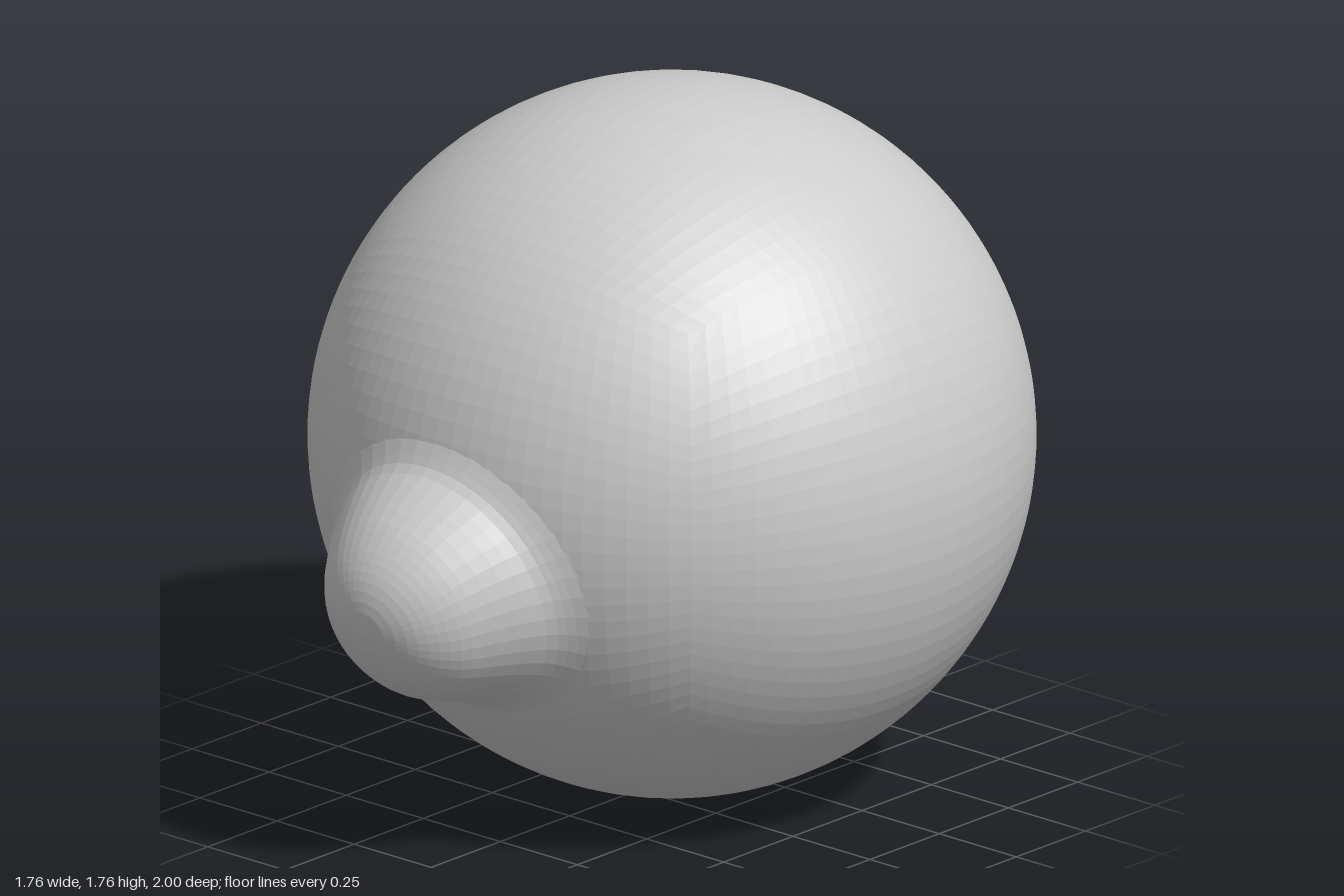
import * as THREE from 'three';
import { ParametricGeometry } from 'three/addons/geometries/ParametricGeometry.js';

const RADIUS = 0.88;

// Evenly faceted sphere: a subdivided cube pushed out to the radius
function ballGeometry(radius, n) {
  const geo = new THREE.BoxGeometry(2, 2, 2, n, n, n);
  const pos = geo.attributes.position;
  const p = new THREE.Vector3();
  for (let i = 0; i < pos.count; i++) {
    p.fromBufferAttribute(pos, i);
    // the tangent keeps the facets nearly equal in size
    p.set(...p.toArray().map((c) => Math.tan((c * Math.PI) / 4)));
    p.setLength(radius);
    pos.setXYZ(i, p.x, p.y, p.z);
  }
  geo.computeVertexNormals();
  return geo;
}

// Rounded snout from oval rings: [distance from ball centre, top, bottom, half width]
function snoutGeometry() {
  const rings = [
    [0.765, 0.42, -0.415, 0.43],
    [0.8, 0.378, -0.355, 0.38],
    [0.835, 0.342, -0.306, 0.345],
    [0.9, 0.315, -0.26, 0.305],
    [0.983, 0.275, -0.215, 0.252],
    [1.03, 0.242, -0.185, 0.218],
    [1.072, 0.203, -0.14, 0.175],
    [1.103, 0.16, -0.09, 0.128],
    [1.125, 0.105, -0.02, 0.065],
    [1.132, 0.043, 0.043, 0],
  ];
  const heights = new THREE.CatmullRomCurve3(rings.map(([d, t, b]) => new THREE.Vector3(d, t, b)));
  const widths = new THREE.CatmullRomCurve3(rings.map(([d, , , w]) => new THREE.Vector3(d, w, 0)));
  const surface = (u, v, target) => {
    const h = heights.getPoint(v);
    const w = widths.getPoint(v).y;
    const a = u * Math.PI * 2;
    target.set(Math.cos(a) * w, (h.y + h.z) / 2 + (Math.sin(a) * (h.y - h.z)) / 2, h.x);
  };
  return new ParametricGeometry(surface, 44, 20);
}

export function createModel() {
  const model = new THREE.Group();
  const material = new THREE.MeshStandardMaterial({ color: 0xcccccc, flatShading: true });

  const head = new THREE.Group();
  head.name = 'head';
  head.position.set(0, RADIUS, -0.12);
  model.add(head);

  const ball = new THREE.Mesh(ballGeometry(RADIUS, 26), material);
  ball.name = 'ball';
  head.add(ball);

  // Snout points forward and a little down
  const snout = new THREE.Mesh(snoutGeometry(), material);
  snout.name = 'snout';
  snout.rotation.x = 0.233;
  head.add(snout);

  return model;
}
